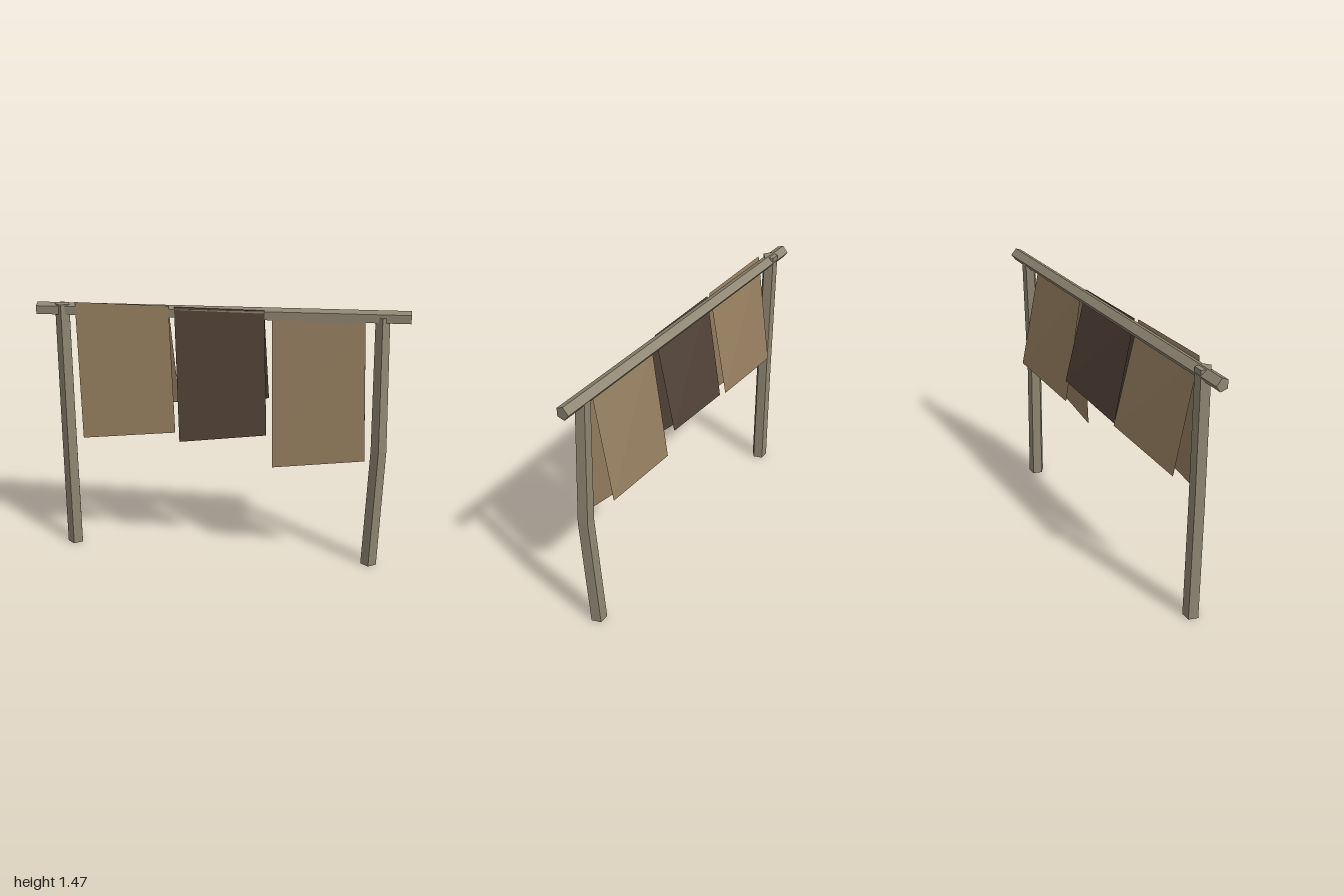
import * as THREE from 'three';

const wood = new THREE.MeshStandardMaterial({ color: 0x8f8672, flatShading: true });
wood.name = 'weatheredWood';
const tan = new THREE.MeshStandardMaterial({ color: 0x967f60, side: THREE.DoubleSide });
tan.name = 'tanHide';
const dark = new THREE.MeshStandardMaterial({ color: 0x524338, side: THREE.DoubleSide });
dark.name = 'darkHide';

function fromPoints(points) {
  const geo = new THREE.BufferGeometry().setFromPoints(points);
  geo.computeVertexNormals();
  return geo;
}

// Capped solid through a list of rings, wound counter-clockwise seen from the last ring
function loft(rings) {
  const pts = [];
  const n = rings[0].length;
  for (let k = 0; k < rings.length - 1; k++) {
    for (let i = 0; i < n; i++) {
      const j = (i + 1) % n;
      const [a, b, c, d] = [rings[k][i], rings[k][j], rings[k + 1][j], rings[k + 1][i]];
      pts.push(a, b, c, a, c, d);
    }
  }
  const first = rings[0], last = rings[rings.length - 1];
  for (let i = 1; i < n - 1; i++) {
    pts.push(first[0], first[i + 1], first[i], last[0], last[i], last[i + 1]);
  }
  return fromPoints(pts);
}

// Five-sided post ring with one corner facing forward
function postRing([x, y, z, r]) {
  return Array.from({ length: 5 }, (_, i) => {
    const a = (i * Math.PI * 2) / 5;
    return new THREE.Vector3(x + r * Math.sin(a), y, z + r * Math.cos(a));
  });
}

export function createModel() {
  const group = new THREE.Group();
  const add = (name, geo, mat) => {
    const mesh = new THREE.Mesh(geo, mat);
    mesh.name = name;
    group.add(mesh);
  };

  // Posts: one straight, one bowed, each ring is x, y, z, radius
  add('rightPost', loft([[-0.858, 0, 0.002, 0.046], [-0.858, 0.7, 0.004, 0.044], [-0.857, 1.433, 0, 0.042]].map(postRing)), wood);
  add('leftPost', loft([[0.857, 0, 0.003, 0.046], [0.875, 0.7, 0.026, 0.044], [0.855, 1.43, 0.004, 0.039]].map(postRing)), wood);

  // Slightly tilted five-sided crossbeam, section given as z, y
  const section = [[0.03, 1.45], [0.03, 1.405], [-0.01, 1.395], [-0.036, 1.43], [-0.005, 1.465]];
  const beamRing = (x, drop) => section.map(([z, y]) => new THREE.Vector3(x, y - drop, z));
  add('crossbeam', loft([beamRing(-1, 0.029), beamRing(1, 0)]), wood);

  // Hides folded over the beam: top edge, then the bottom corners of each flap
  const hides = [
    { mat: tan, top: [-0.78, -0.267, 1.45, 0.032], front: [-0.756, 0.687, -0.228, 0.758], back: [-0.757, 0.82, -0.242, 0.87] },
    { mat: dark, top: [-0.237, 0.243, 1.445, 0.029], front: [-0.21, 0.697, 0.273, 0.773], back: [-0.217, 0.865, 0.263, 0.92] },
    { mat: tan, top: [0.283, 0.767, 1.44, 0.027], front: [0.305, 0.58, 0.803, 0.658], back: [0.298, 0.77, 0.792, 0.82] },
  ];
  hides.forEach(({ mat, top, front, back }, i) => {
    const [x0, x1, y, z] = top;
    const flap = ([xa, ya, xb, yb], za, zb, flip) => {
      const a = new THREE.Vector3(xa, ya, za), b = new THREE.Vector3(xb, yb, zb);
      const c = new THREE.Vector3(x1, y, z), d = new THREE.Vector3(x0, y, z);
      return fromPoints(flip ? [b, a, d, b, d, c] : [a, b, c, a, c, d]);
    };
    add(`frontFlap${i + 1}`, flap(front, 0.075, 0.094, false), mat);
    add(`backFlap${i + 1}`, flap(back, -0.077, -0.096, true), mat);
  });

  return group;
}
